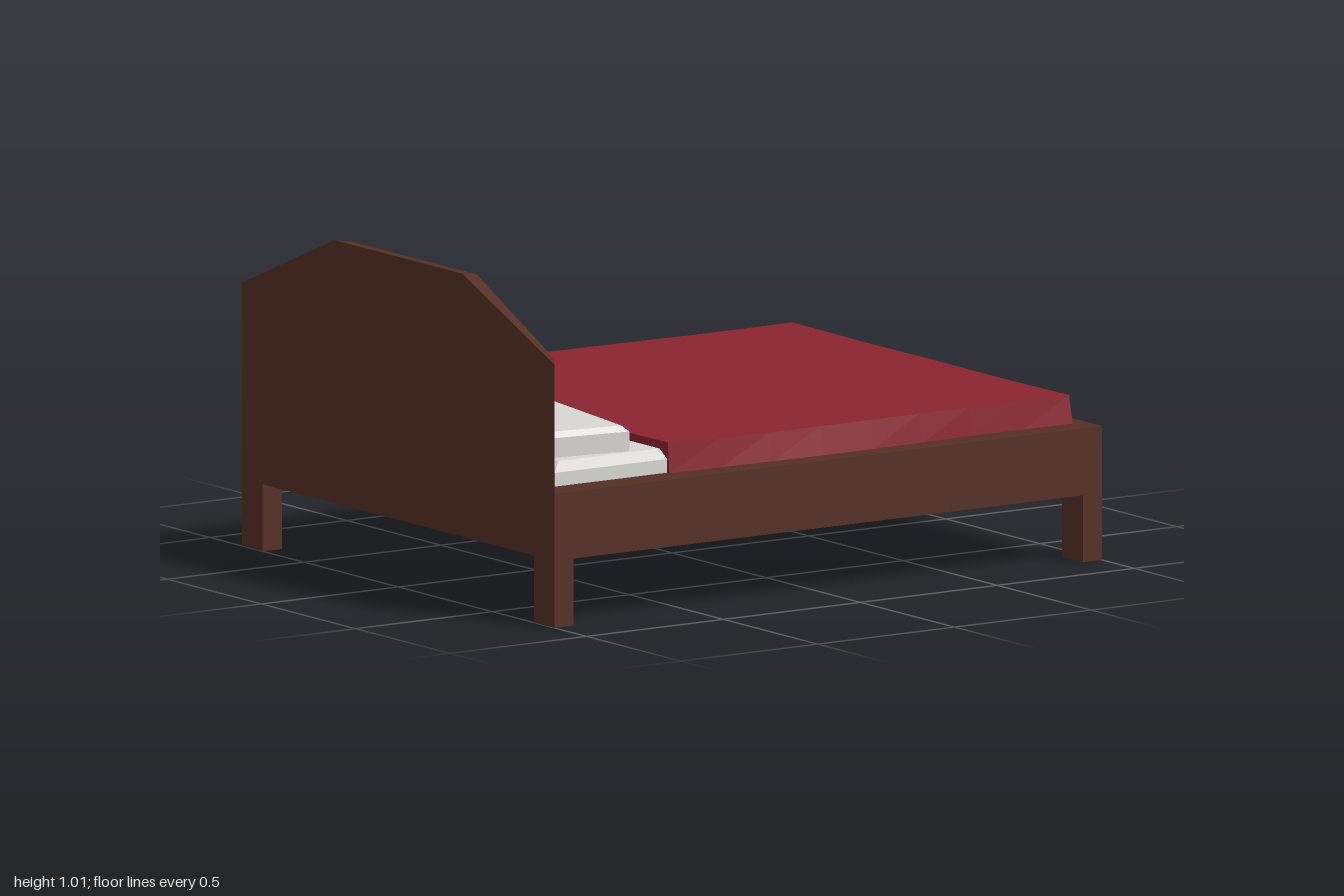
import * as THREE from 'three';

const mat = (name, color) => {
  const m = new THREE.MeshStandardMaterial({ color, flatShading: true });
  m.name = name;
  return m;
};

// Solid skinned through matching convex rings; rings run anticlockwise seen from the last one
function loft(rings) {
  const pos = [];
  const tri = (...pts) => pts.forEach((p) => pos.push(...p));
  const n = rings[0].length;
  for (let r = 0; r < rings.length - 1; r++) {
    for (let i = 0; i < n; i++) {
      const j = (i + 1) % n, lo = rings[r], hi = rings[r + 1];
      tri(lo[i], lo[j], hi[j]);
      tri(lo[i], hi[j], hi[i]);
    }
  }
  const first = rings[0], last = rings[rings.length - 1];
  for (let i = 1; i < n - 1; i++) {
    tri(first[0], first[i + 1], first[i]);
    tri(last[0], last[i], last[i + 1]);
  }
  const g = new THREE.BufferGeometry();
  g.setAttribute('position', new THREE.Float32BufferAttribute(pos, 3));
  g.computeVertexNormals();
  return g;
}

// Upright cushion with a sloping rim around its top
function cushion(w, d, y0, yRim, yTop, inset) {
  const ring = (y, s) => [[1, 1], [1, -1], [-1, -1], [-1, 1]]
    .map(([x, z]) => [x * (w / 2 - s), y, z * (d / 2 - s)]);
  return loft([ring(y0, 0), ring(yRim, 0), ring(yTop, inset)]);
}

export function createModel() {
  const group = new THREE.Group();
  const wood = mat('dark wood', 0x553026);
  const red = mat('red blanket', 0x8a2430);
  const linen = mat('white linen', 0xd8d7d4);
  const add = (name, geometry, material, x = 0, y = 0, z = 0) => {
    const mesh = new THREE.Mesh(geometry, material);
    mesh.name = name;
    mesh.position.set(x, y, z);
    group.add(mesh);
    return mesh;
  };

  // Frame and legs
  add('frame', new THREE.BoxGeometry(2, 0.205, 1.66), wood, 0, 0.3075, 0);
  for (const x of [-1, 1]) {
    for (const z of [-1, 1]) {
      add('leg', new THREE.BoxGeometry(0.07, 0.205, 0.11), wood, x * 0.965, 0.1025, z * 0.775);
    }
  }

  // Headboard with clipped corners and bevelled ends
  const outline = (x, side, shoulder, top) => [
    [x, 0.41, side], [x, 0.41, -side], [x, 0.805, -side],
    [x, top, -shoulder], [x, top, shoulder], [x, 0.805, side],
  ];
  add('headboard', loft([outline(-1, 0.83, 0.34, 1.01), outline(-0.94, 0.74, 0.33, 1)]), wood);

  // Mattress
  add('mattress', cushion(1.86, 1.46, 0.4, 0.452, 0.478, 0.04), linen);

  // Blanket with flared, gently wavy sides
  const blanket = new THREE.BoxGeometry(1.47, 0.09, 1.48, 8, 1, 4);
  const p = blanket.attributes.position;
  for (let i = 0; i < p.count; i++) {
    const x = p.getX(i) + 0.215, up = p.getY(i) > 0, z = p.getZ(i);
    const edge = Math.abs(z) / 0.74;
    const wave = 0.008 * Math.cos(x * 5 - 0.4) * edge;
    const reach = (up ? 0.737 : 0.75) / 0.74;
    p.setXYZ(
      i,
      x + (up && x > 0.9 ? -0.006 : 0),
      up ? 0.495 + (x < -0.45 ? 0.007 : 0) + 0.003 * Math.cos(z * 7) * edge : 0.408,
      z * reach + Math.sign(z) * wave * (z < 0 || !up ? 1 : 0.4),
    );
  }
  blanket.computeVertexNormals();
  add('blanket', blanket, red);

  // Pillows
  for (const [x, z, turn] of [[-0.707, -0.341, 0.075], [-0.715, 0.369, -0.14]]) {
    add('pillow', cushion(0.274, 0.577, 0.475, 0.538, 0.555, 0.018), linen, x, 0, z).rotation.y = turn;
  }
  return group;
}
